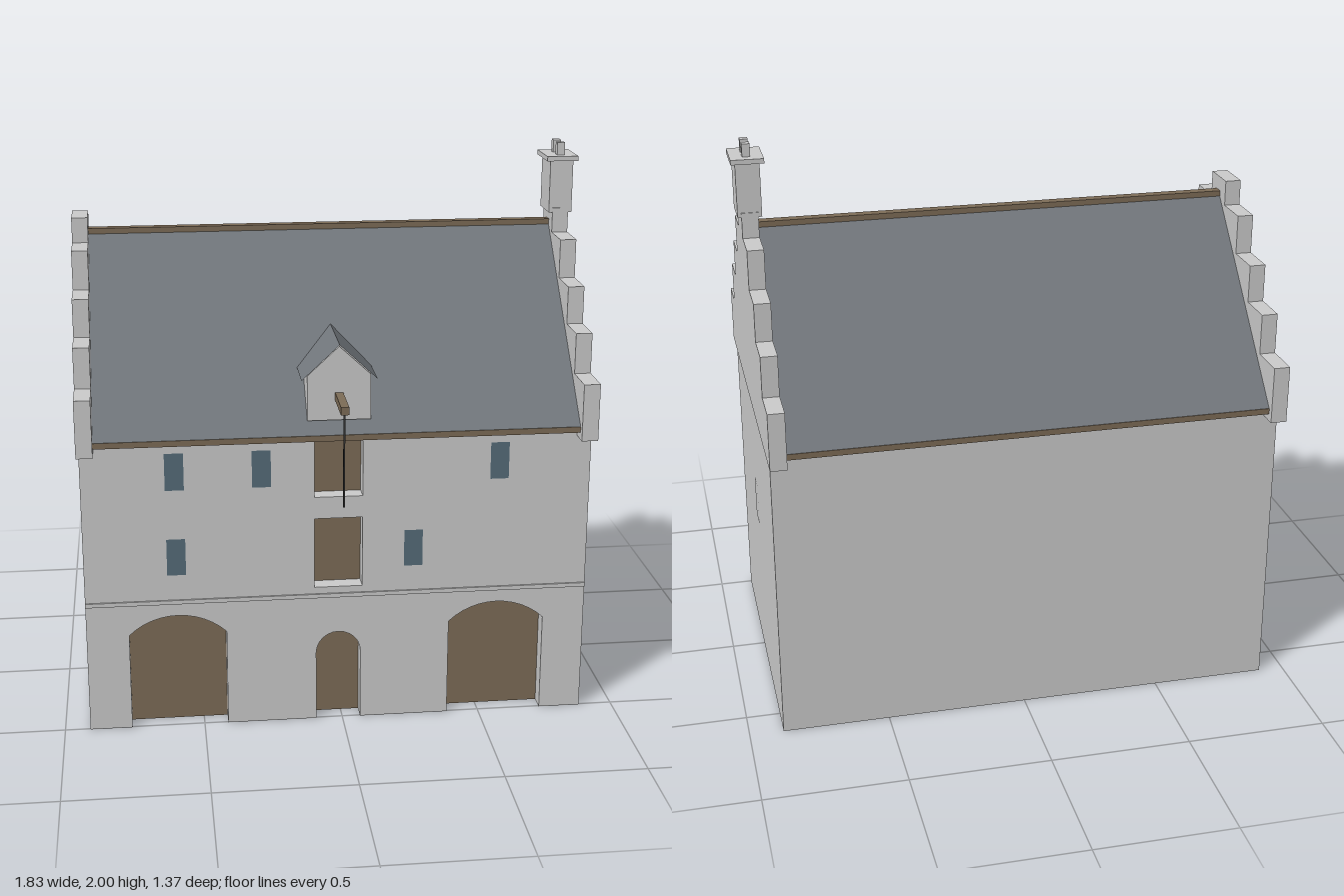
import * as THREE from 'three';

const WALL = { x0: -0.91, x1: 0.88, z0: -0.615, z1: 0.505, top: 1.05, frontTop: 1.1 };
const MID_Z = -0.055; // ridge line
const MID_X = -0.015; // centre of the hoist bay
const RECESS = 0.06;

const mat = (color, side = THREE.FrontSide) =>
  new THREE.MeshStandardMaterial({ color, side, flatShading: true });

export function createModel() {
  const root = new THREE.Group();
  const stone = mat(0xcccccc);
  const stoneSheet = mat(0xcccccc, THREE.DoubleSide);
  const paleSheet = mat(0xbdbdbd, THREE.DoubleSide);
  const slate = mat(0x72777c, THREE.DoubleSide);
  const wood = mat(0x7d6c57, THREE.DoubleSide);
  const glass = mat(0x566c79, THREE.DoubleSide);
  const dark = mat(0x333333);

  const add = (name, geometry, material, parent = root) => {
    const mesh = new THREE.Mesh(geometry, material);
    mesh.name = name;
    parent.add(mesh);
    return mesh;
  };
  // Box given by its extents
  const box = (name, x0, x1, y0, y1, z0, z1, material, parent) => {
    const m = add(name, new THREE.BoxGeometry(x1 - x0, y1 - y0, z1 - z0), material, parent);
    m.position.set((x0 + x1) / 2, (y0 + y1) / 2, (z0 + z1) / 2);
    return m;
  };
  const shapeOf = (pts) => new THREE.Shape(pts.map(([x, y]) => new THREE.Vector2(x, y)));

  // Extrude a (z, y) profile along x
  const extrudeX = (name, profile, x0, x1, material) => {
    const geo = new THREE.ExtrudeGeometry(shapeOf(profile.map(([z, y]) => [-z, y])),
      { depth: x1 - x0, bevelEnabled: false });
    geo.rotateY(Math.PI / 2);
    const m = add(name, geo, material);
    m.position.x = x0;
    return m;
  };

  // Outline of an arched opening, from its left foot over the arch to its right foot
  const archPoints = (x0, x1, spring, apex, n) => {
    const half = (x1 - x0) / 2, rise = apex - spring;
    const r = (half * half + rise * rise) / (2 * rise);
    const a = Math.asin(Math.min(1, half / r));
    const pts = [[x0, 0]];
    for (let i = 0; i <= n; i++) {
      const t = -a + (2 * a * i) / n;
      pts.push([(x0 + x1) / 2 + r * Math.sin(t), apex - r + r * Math.cos(t)]);
    }
    pts.push([x1, 0]);
    return pts;
  };
  const arches = [
    archPoints(-0.76, -0.415, 0.36, 0.43, 12),
    archPoints(-0.095, 0.065, 0.26, 0.34, 12),
    archPoints(0.385, 0.73, 0.36, 0.43, 12),
  ];
  const hatches = [[0.515, 0.775], [0.855, 1.085]].map(([y0, y1]) =>
    [[-0.1, y0], [-0.1, y1], [0.07, y1], [0.07, y0]]);

  // Front wall, notched by the arches and pierced by the loading doors
  const front = shapeOf([[WALL.x0, 0], ...arches.flat(), [WALL.x1, 0],
    [WALL.x1, WALL.frontTop], [WALL.x0, WALL.frontTop]]);
  hatches.forEach((h) => front.holes.push(shapeOf(h)));
  add('frontWall', new THREE.ShapeGeometry(front), stoneSheet).position.z = WALL.z1;

  // Recessed doors: a wooden leaf and the stone reveal around it
  const recessedDoor = (name, pts, closed) => {
    const door = new THREE.Group();
    door.name = name;
    root.add(door);
    add('leaf', new THREE.ShapeGeometry(shapeOf(pts)), wood, door).position.z = WALL.z1 - RECESS;
    const line = closed ? [...pts, pts[0]] : pts;
    const reveal = new THREE.PlaneGeometry(1, 1, line.length - 1, 1);
    const p = reveal.attributes.position;
    for (let i = 0; i < p.count; i++) {
      const [x, y] = line[i % line.length];
      p.setXYZ(i, x, y, i < line.length ? WALL.z1 : WALL.z1 - RECESS);
    }
    reveal.computeVertexNormals();
    add('reveal', reveal, stoneSheet, door);
  };
  arches.forEach((a) => recessedDoor('archedDoor', a, false));
  hatches.forEach((h) => recessedDoor('loadingDoor', h, true));

  // Remaining walls, open at the ground
  const wallSheet = (name, w, h, x, z, turn) => {
    const m = add(name, new THREE.PlaneGeometry(w, h), stoneSheet);
    m.position.set(x, h / 2, z);
    m.rotation.y = turn;
  };
  const depth = WALL.z1 - WALL.z0;
  wallSheet('backWall', WALL.x1 - WALL.x0, WALL.frontTop, (WALL.x0 + WALL.x1) / 2, WALL.z0, Math.PI);
  wallSheet('leftWall', depth, WALL.top, WALL.x1, MID_Z, Math.PI / 2);
  wallSheet('rightWall', depth, WALL.top, WALL.x0, MID_Z, -Math.PI / 2);

  // String course
  box('stringCourse', WALL.x0, WALL.x1, 0.475, 0.49, WALL.z1 - 0.005, WALL.z1 + 0.006, stone);

  // Windows: glazed ones and blind ones, flush with the wall
  const pane = (name, w, h, x, y, z, turn, material) => {
    const m = add(name, new THREE.PlaneGeometry(w, h), material);
    m.position.set(x, y, z);
    m.rotation.y = turn;
  };
  const columns = [-0.587, -0.285, 0.252, 0.555];
  [[0.968, [1, 1, 0, 1]], [0.652, [1, 0, 1, 0]]].forEach(([y, glazed]) =>
    columns.forEach((x, i) => pane(glazed[i] ? 'window' : 'blindWindow', 0.066, 0.135,
      x, y, WALL.z1 + 0.002, 0, glazed[i] ? glass : paleSheet)));
  [0.44, -0.01, -0.45].forEach((x) =>
    pane('backWindow', 0.09, 0.155, x, 0.75, WALL.z0 - 0.002, Math.PI, paleSheet));
  pane('leftWindow', 0.09, 0.155, WALL.x1 + 0.002, 0.643, MID_Z, Math.PI / 2, paleSheet);
  pane('rightWindow', 0.09, 0.155, WALL.x0 - 0.002, 0.643, MID_Z, -Math.PI / 2, paleSheet);

  // Crow-stepped gables
  const steps = [[0.628, 1.255], [0.488, 1.4], [0.35, 1.535], [0.208, 1.675], [0.07, 1.765]];
  const half = [];
  let y = WALL.top;
  steps.forEach(([dz, top]) => {
    half.push([dz, y], [dz, top]);
    y = top;
  });
  const gable = [...half.map(([dz, h]) => [MID_Z + dz, h]),
    ...half.slice().reverse().map(([dz, h]) => [MID_Z - dz, h])];
  extrudeX('rightGable', gable, -0.917, -0.86, stone);
  extrudeX('leftGable', gable, 0.828, 0.886, stone);

  // Main roof with ridge board and eaves boards
  const rx0 = -0.86, rx1 = 0.828, run = 0.605;
  extrudeX('roof', [[MID_Z + run, 1.095], [MID_Z, 1.71], [MID_Z - run, 1.095],
    [MID_Z - run, 1.08], [MID_Z, 1.685], [MID_Z + run, 1.08]], rx0, rx1, slate);
  box('ridgeBoard', rx0, rx1, 1.695, 1.715, MID_Z - 0.018, MID_Z + 0.018, wood);
  [-1, 1].forEach((s) => {
    const z = MID_Z + s * (run - 0.005);
    box('eavesBoard', rx0, rx1, 1.075, 1.096, z - 0.006, z + 0.006, wood);
  });

  // Hoist dormer: gabled stone body running back into the roof
  const dormer = new THREE.Group();
  dormer.name = 'dormer';
  dormer.position.x = MID_X;
  root.add(dormer);
  const bodyGeo = new THREE.ExtrudeGeometry(
    shapeOf([[-0.11, 1.14], [0.11, 1.14], [0.11, 1.3], [0, 1.402], [-0.11, 1.3]]),
    { depth: 1, bevelEnabled: false });
  const bp = bodyGeo.attributes.position;
  for (let i = 0; i < bp.count; i++) { // slide the back onto the main slope
    bp.setZ(i, bp.getZ(i) > 0.5 ? 0.515 : 0.54 - (bp.getY(i) - 1.095) / 1.017 - 0.02);
  }
  bodyGeo.computeVertexNormals();
  add('dormerBody', bodyGeo, stone, dormer);
  const roofGeo = new THREE.PlaneGeometry(1, 1, 2, 1);
  const rp = roofGeo.attributes.position;
  for (let i = 0; i < 6; i++) {
    const c = (i % 3) - 1;
    const back = c === 0 ? 0.23 : 0.355;
    rp.setXYZ(i, c * 0.131, c === 0 ? 1.41 : 1.287, i < 3 ? back : 0.528);
  }
  roofGeo.computeVertexNormals();
  add('dormerRoof', roofGeo, slate, dormer);

  // Hoist beam and rope
  box('hoistBeam', -0.014, 0.014, 1.21, 1.238, 0.45, 0.685, wood, dormer);
  box('hoistRope', -0.003, 0.003, 0.875, 1.215, 0.66, 0.666, dark, dormer);

  // Chimney on the left gable
  const chimney = new THREE.Group();
  chimney.name = 'chimney';
  chimney.position.set(0.857, 0, MID_Z);
  root.add(chimney);
  box('stack', -0.042, 0.042, 1.748, 1.94, -0.067, 0.067, stone, chimney);
  box('cap', -0.057, 0.057, 1.938, 1.955, -0.081, 0.081, stone, chimney);
  [-0.032, 0.032].forEach((z) =>
    box('chimneyPot', -0.014, 0.014, 1.95, 2, z - 0.014, z + 0.014, stone, chimney));

  return root;
}
